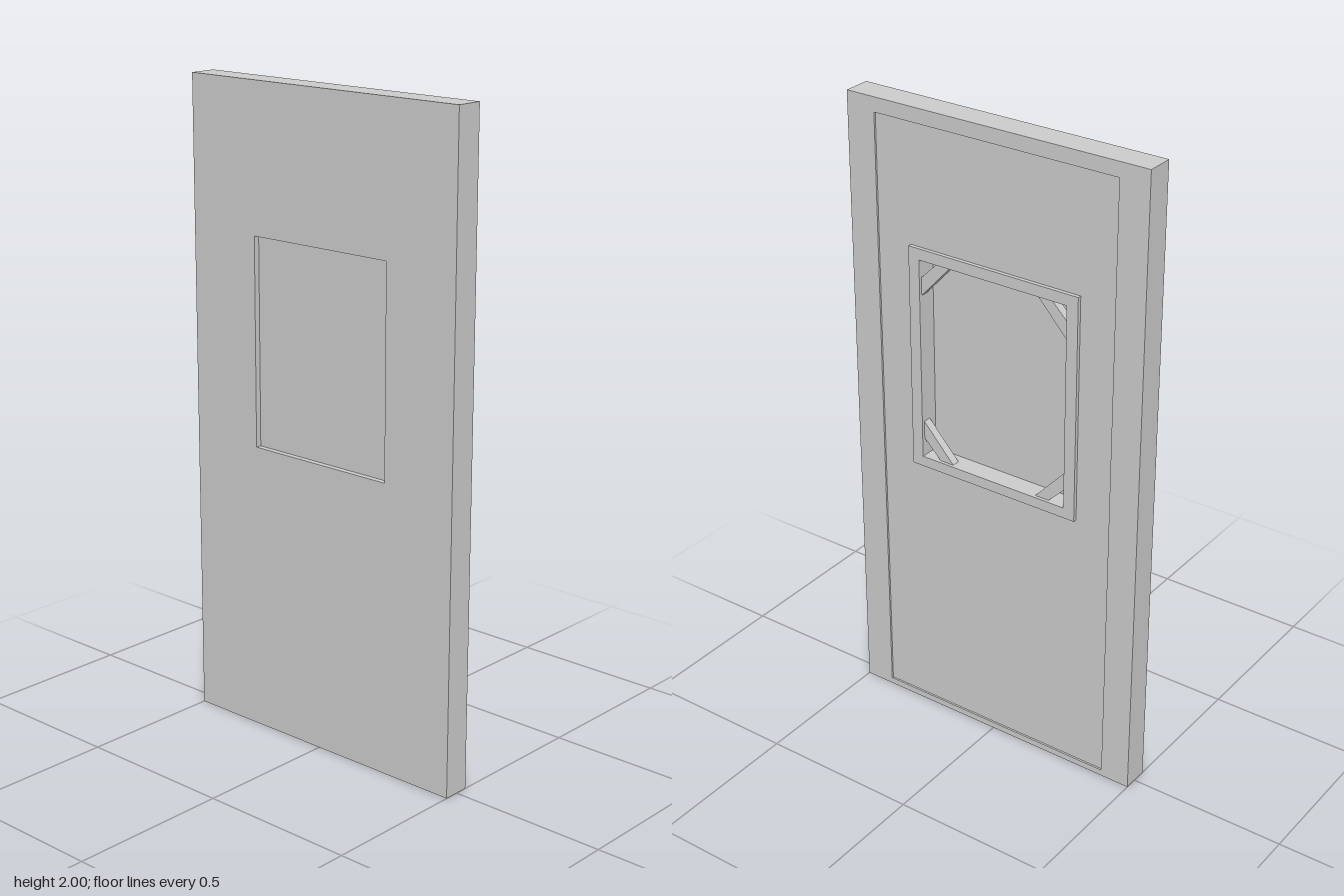
import * as THREE from 'three';

const material = new THREE.MeshStandardMaterial({ color: 0xcccccc, flatShading: true });

// Rectangle as [half width, bottom, top]
function corners([w, y0, y1]) {
  return [[-w, y0], [w, y0], [w, y1], [-w, y1]].map(([x, y]) => new THREE.Vector2(x, y));
}

// Upright plate facing +x, cut from an outline, between two x positions
function plate(name, outline, hole, x0, x1) {
  const shape = new THREE.Shape(outline);
  if (hole) shape.holes.push(new THREE.Path(hole));
  const geometry = new THREE.ExtrudeGeometry(shape, { depth: x1 - x0, bevelEnabled: false });
  geometry.rotateY(Math.PI / 2);
  geometry.translate(x0, 0, 0);
  const mesh = new THREE.Mesh(geometry, material);
  mesh.name = name;
  return mesh;
}

export function createModel() {
  const group = new THREE.Group();
  group.name = 'door';

  const outer = corners([0.5, 0, 2]);
  const opening = [0.253, 0.905, 1.548];
  const window = corners(opening);

  // Door slab with a window opening, and the slim raised rim around its face
  group.add(plate('doorSlab', outer, window, -0.046, 0.034));
  group.add(plate('doorRim', outer, corners([0.405, 0.02, 1.955]), 0.034, 0.04));

  // Window trim standing proud of the face
  group.add(plate('windowTrim', corners([0.29, 0.872, 1.583]), window, 0.034, 0.046));

  // Pane set deep in the opening
  group.add(plate('windowPane', window, null, -0.028, -0.018));

  // Diagonal braces across the four corners of the opening
  const [w, y0, y1] = opening;
  for (const side of [-1, 1]) {
    for (const [y, up] of [[y0, 1], [y1, -1]]) {
      const outline = [[0, 0.058], [0, 0.115], [0.105, 0], [0.058, 0]].map(
        ([a, b]) => new THREE.Vector2(side * (w - a), y + up * b));
      group.add(plate('cornerBrace', outline, null, 0.01, 0.036));
    }
  }
  return group;
}
